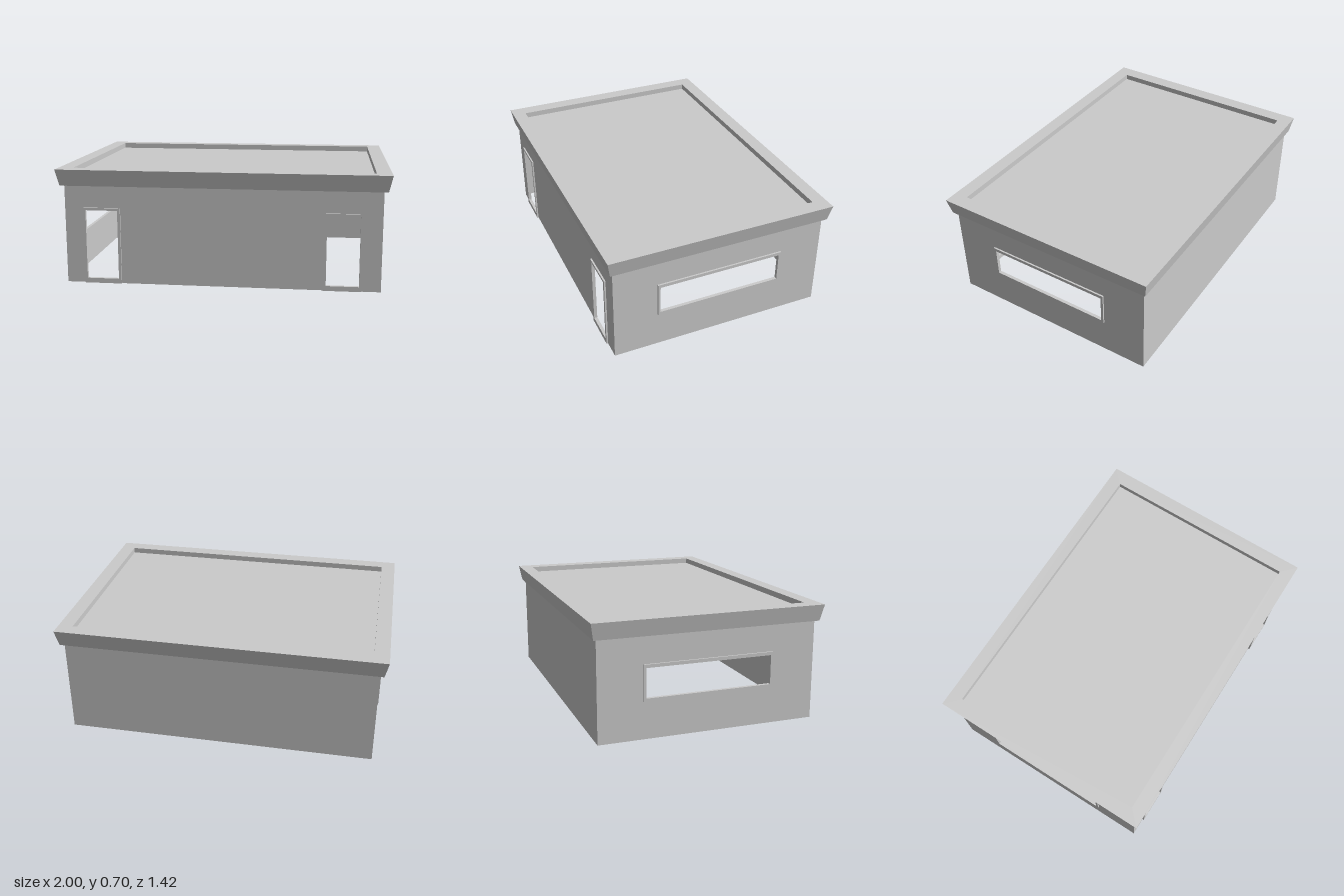
import * as THREE from 'three';

const WALL_X = 0.955, WALL_Z = 0.67, WALL_TOP = 0.605, FRAME_DEPTH = 0.02;
const material = new THREE.MeshStandardMaterial({ color: 0xcccccc, flatShading: true });
const thin = new THREE.MeshStandardMaterial({ color: 0xcccccc, flatShading: true, side: THREE.DoubleSide });

function rect(Type, x0, x1, y0, y1) {
  const r = new Type();
  r.moveTo(x0, y0);
  r.lineTo(x1, y0);
  r.lineTo(x1, y1);
  r.lineTo(x0, y1);
  r.closePath();
  return r;
}

// An opening is [outer rectangle, inner rectangle], each as x0, x1, y0, y1
function doorAt(x) {
  return [[x - 0.115, x + 0.115, 0, 0.47], [x - 0.098, x + 0.098, 0.03, 0.455]];
}
const windowOpening = [[-0.4, 0.4, 0.223, 0.44], [-0.385, 0.385, 0.243, 0.42]];

// Thin wall sheet with a protruding frame around every opening
function makeWall(name, halfWidth, distance, angle, openings) {
  const group = new THREE.Group();
  group.name = name;
  const sheet = rect(THREE.Shape, -halfWidth, halfWidth, 0, WALL_TOP);
  for (const [, inner] of openings) sheet.holes.push(rect(THREE.Path, ...inner));
  const wall = new THREE.Mesh(new THREE.ShapeGeometry(sheet), thin);
  wall.name = name + 'Sheet';
  group.add(wall);

  for (const [outer, inner] of openings) {
    const shape = rect(THREE.Shape, ...outer);
    shape.holes.push(rect(THREE.Path, ...inner));
    const geometry = new THREE.ExtrudeGeometry(shape, { depth: FRAME_DEPTH, bevelEnabled: false });
    geometry.translate(0, 0, -FRAME_DEPTH / 2);
    const frame = new THREE.Mesh(geometry, material);
    frame.name = outer[2] === 0 ? 'doorFrame' : 'windowFrame';
    group.add(frame);
  }
  group.rotation.y = angle;
  group.position.set(Math.sin(angle) * distance, 0, Math.cos(angle) * distance);
  return group;
}

// Roof shell lofted through rectangular rings [half x, half z, y], capped at both ends
function makeRoof() {
  const rings = [
    [WALL_X, WALL_Z, 0.655],     // ceiling
    [WALL_X, WALL_Z, WALL_TOP],  // top of the walls
    [0.978, 0.69, WALL_TOP],     // soffit edge
    [1, 0.708, 0.705],           // flared fascia
    [0.91, 0.622, 0.705],        // rim
    [0.91, 0.622, 0.67],         // sunken deck
  ].map(([x, z, y]) => [[-x, y, z], [x, y, z], [x, y, -z], [-x, y, -z]]);

  const points = [];
  const quad = (a, b, c, d) => points.push(...a, ...b, ...c, ...a, ...c, ...d);
  for (let r = 0; r < rings.length - 1; r++) {
    const low = rings[r], high = rings[r + 1];
    for (let i = 0; i < 4; i++) {
      const j = (i + 1) % 4;
      quad(low[i], low[j], high[j], high[i]);
    }
  }
  quad(...[...rings[0]].reverse());
  quad(...rings[rings.length - 1]);

  const geometry = new THREE.BufferGeometry();
  geometry.setAttribute('position', new THREE.Float32BufferAttribute(points, 3));
  geometry.computeVertexNormals();
  const roof = new THREE.Mesh(geometry, material);
  roof.name = 'roof';
  return roof;
}

export function createModel() {
  const building = new THREE.Group();
  building.name = 'building';
  building.add(
    makeWall('frontWall', WALL_X, WALL_Z, 0, [doorAt(-0.728), doorAt(0.728)]),
    makeWall('backWall', WALL_X, WALL_Z, Math.PI, []),
    makeWall('leftWall', WALL_Z, WALL_X, Math.PI / 2, [windowOpening]),
    makeWall('rightWall', WALL_Z, WALL_X, -Math.PI / 2, [windowOpening]),
    makeRoof(),
  );
  return building;
}
